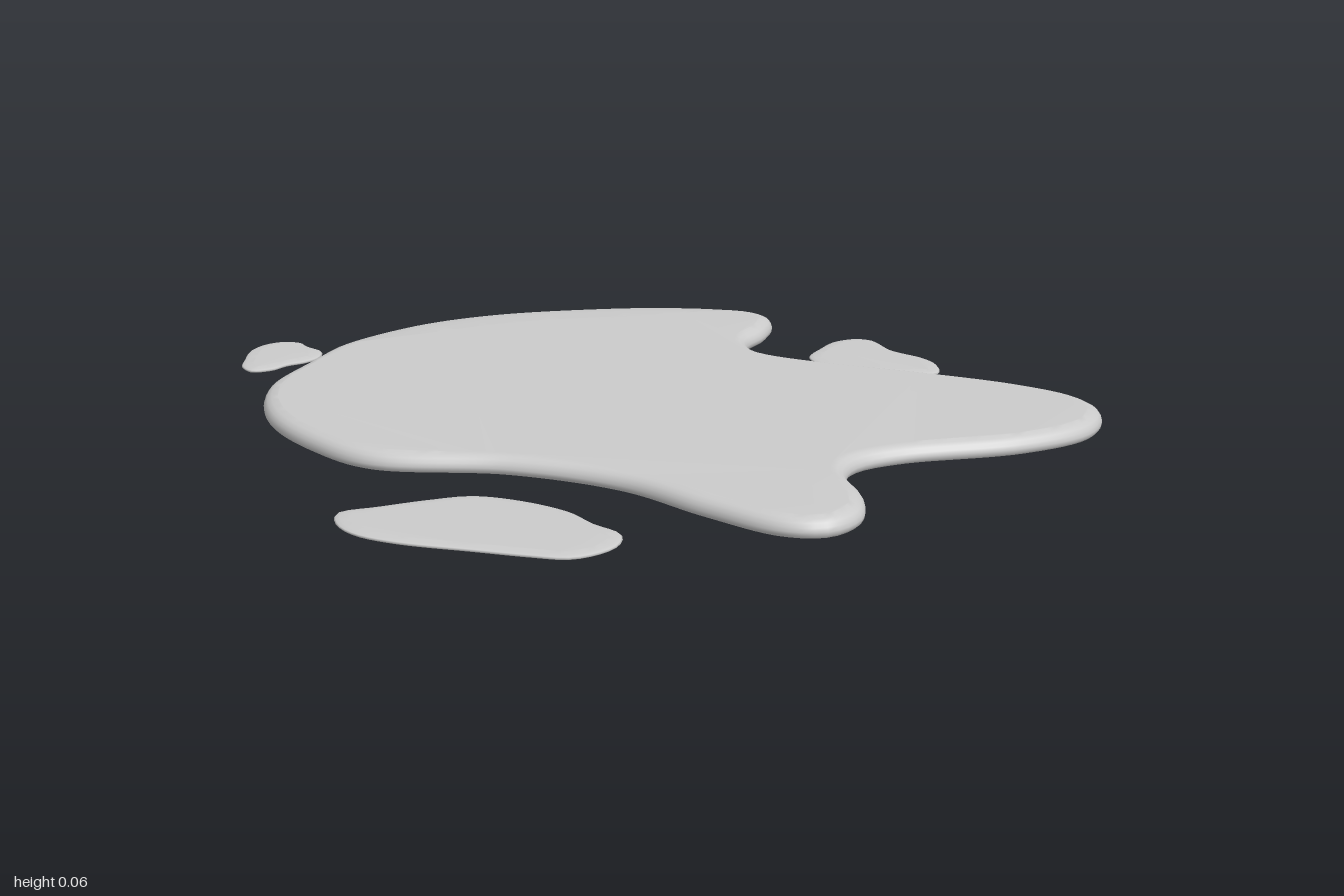
import * as THREE from 'three';

const material = new THREE.MeshStandardMaterial({ color: 0xcccccc, side: THREE.DoubleSide });

// Flat pool: a smooth closed outline (x, z) swept through a rim profile of
// [inset, height] pairs from bottom to top. The skin is open underneath.
function makePool(name, outline, profile, samples, widen = () => 1) {
  const points = [];
  for (let i = 0; i < outline.length; i += 2) {
    points.push(new THREE.Vector3(outline[i], -outline[i + 1], 0));
  }
  const curve = new THREE.CatmullRomCurve3(points, true, 'centripetal');
  const contour = curve.getSpacedPoints(samples).slice(0, samples)
    .map((p) => new THREE.Vector2(p.x, p.y));
  if (THREE.ShapeUtils.isClockWise(contour)) contour.reverse();

  // Inward direction at every outline point
  const inward = contour.map((p, i) => {
    const t = contour[(i + 1) % samples].clone().sub(contour[(i + samples - 1) % samples]).normalize();
    return new THREE.Vector2(-t.y, t.x);
  });

  const positions = [];
  const index = [];
  const rings = profile.map(([inset, y]) => contour.map((p, i) => {
    const q = p.clone().addScaledVector(inward[i], inset * widen(-p.y));
    positions.push(q.x, y, -q.y);
    return q;
  }));

  // Rim
  for (let r = 0; r < rings.length - 1; r++) {
    for (let i = 0; i < samples; i++) {
      const j = (i + 1) % samples;
      const a = r * samples + i, b = r * samples + j;
      index.push(a, b, b + samples, a, b + samples, a + samples);
    }
  }
  // Top surface
  const top = (rings.length - 1) * samples;
  for (const [a, b, c] of THREE.ShapeUtils.triangulateShape(rings[rings.length - 1], [])) {
    index.push(top + a, top + b, top + c);
  }

  const geometry = new THREE.BufferGeometry();
  geometry.setAttribute('position', new THREE.Float32BufferAttribute(positions, 3));
  geometry.setIndex(index);
  geometry.computeVertexNormals();
  const mesh = new THREE.Mesh(geometry, material);
  mesh.name = name;
  return mesh;
}

export function createModel() {
  const group = new THREE.Group();
  group.name = 'puddle';

  // Main puddle: rounded rim that thins into a longer slope at the back
  const mainOutline = [
    0, 1, -0.09, 0.96, -0.2, 0.785, -0.31, 0.565, -0.51, 0.375, -0.79, 0.235,
    -0.89, 0.05, -0.94, -0.18, -0.9, -0.41, -0.76, -0.61, -0.6, -0.8,
    -0.42, -0.92, -0.21, -0.965, 0.03, -0.95, 0.27, -0.89, 0.44, -0.78,
    0.51, -0.65, 0.45, -0.53, 0.365, -0.44, 0.355, -0.32, 0.465, -0.18,
    0.65, -0.02, 0.845, 0.175, 0.93, 0.32, 0.93, 0.44, 0.835, 0.555,
    0.64, 0.605, 0.35, 0.587, 0.23, 0.615, 0.17, 0.69, 0.145, 0.85, 0.09, 0.955,
  ];
  const mainRim = [
    [0.006, 0.02], [0.001, 0.026], [0, 0.034], [0.003, 0.043],
    [0.009, 0.052], [0.02, 0.058], [0.035, 0.062],
  ];
  const backSlope = (z) => 1 + 4 * THREE.MathUtils.smoothstep(-z, 0.7, 0.95);
  group.add(makePool('mainPuddle', mainOutline, mainRim, 220, backSlope));

  // Thin satellite drops
  const dropRim = [[0.004, 0], [0, 0.003], [0.003, 0.006], [0.012, 0.008], [0.03, 0.01]];
  const drops = {
    frontDrop: [
      -0.91, 0.46, -0.82, 0.45, -0.71, 0.44, -0.61, 0.445, -0.52, 0.51,
      -0.44, 0.62, -0.415, 0.71, -0.38, 0.79, -0.41, 0.86, -0.47, 0.895,
      -0.53, 0.9, -0.6, 0.86, -0.7, 0.79, -0.84, 0.69, -0.91, 0.61, -0.93, 0.53,
    ],
    leftDrop: [
      0.71, -0.53, 0.745, -0.5, 0.755, -0.385, 0.8, -0.29, 0.807, -0.22,
      0.77, -0.14, 0.675, -0.18, 0.57, -0.215, 0.53, -0.29, 0.522, -0.395,
      0.58, -0.465, 0.645, -0.52,
    ],
    backDrop: [
      -0.75, -1, -0.71, -0.975, -0.7, -0.93, -0.675, -0.87, -0.695, -0.81,
      -0.735, -0.78, -0.785, -0.765, -0.83, -0.735, -0.885, -0.735,
      -0.9, -0.785, -0.88, -0.86, -0.85, -0.94, -0.8, -0.99,
    ],
  };
  for (const [name, outline] of Object.entries(drops)) {
    group.add(makePool(name, outline, dropRim, 64));
  }
  return group;
}
